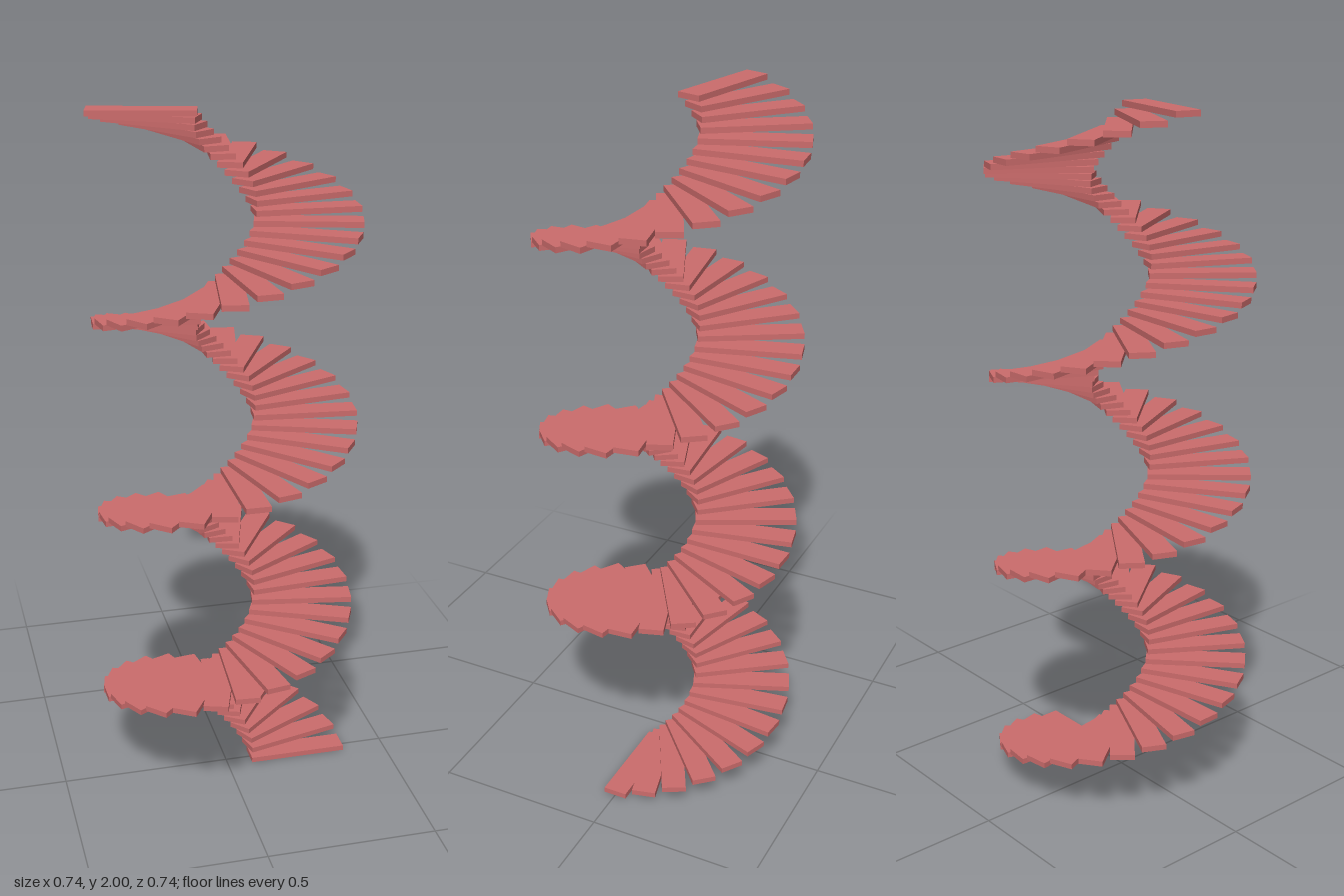
import * as THREE from 'three';

// Spiral stair: flat box treads climbing counter-clockwise (seen from above).
const STEPS = 90;
const TURNS = 3.5;
const HEIGHT = 2;
const THICKNESS = 0.016;
const INNER = 0.075;
const OUTER = 0.369;
const WIDTH = 0.07;

export function createModel() {
  const model = new THREE.Group();
  model.name = 'spiralStair';

  const treadRed = new THREE.MeshStandardMaterial({ color: 0xcc6c6c });
  treadRed.name = 'treadRed';

  // One tread, lying along +x away from the open core and resting on y = 0
  const treadGeometry = new THREE.BoxGeometry(OUTER - INNER, THICKNESS, WIDTH);
  treadGeometry.translate((INNER + OUTER) / 2, THICKNESS / 2, 0);

  const rise = (HEIGHT - THICKNESS) / (STEPS - 1);
  const turn = (TURNS * 2 * Math.PI) / STEPS;

  for (let i = 0; i < STEPS; i++) {
    const tread = new THREE.Mesh(treadGeometry, treadRed);
    tread.name = `tread${i + 1}`;
    tread.position.y = i * rise;
    tread.rotation.y = i * turn;
    model.add(tread);
  }
  return model;
}
